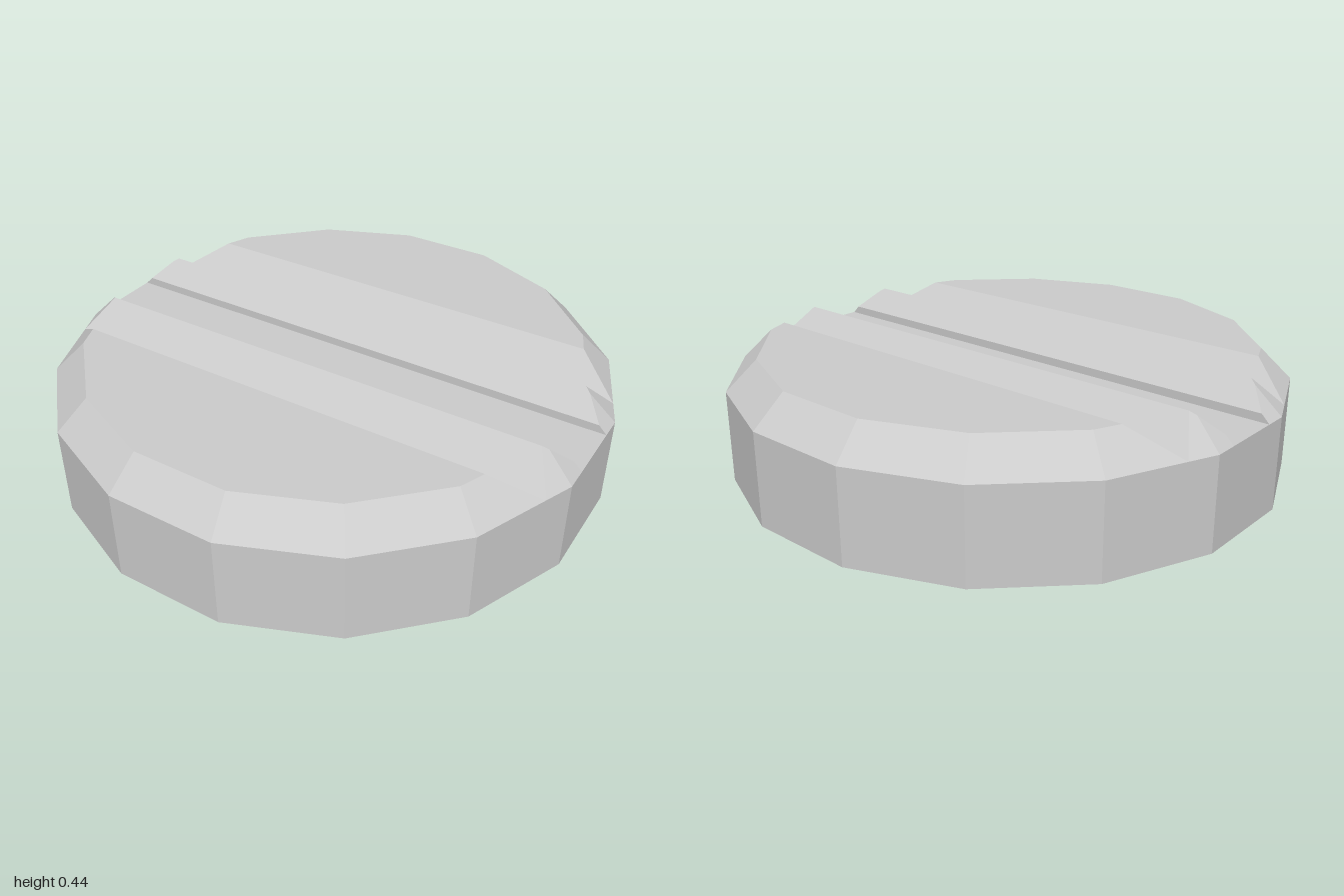
import * as THREE from 'three';
import { ConvexGeometry } from 'three/addons/geometries/ConvexGeometry.js';

const SIDES = 16, STEP = (2 * Math.PI) / SIDES;
const EDGE = 0.334, TOP = 0.444;           // start of the rim chamfer, and the top face
const COT = Math.tan(STEP / 2);            // half side length per unit of apothem

// distance from centre to a side at height y (45 degree chamfer above EDGE)
const apothem = (y) => 1 - Math.max(0, y - EDGE);

// half width in x of the chamfered disc at depth z and height y
function halfWidth(z, y) {
  let w = Infinity;
  for (let k = 0; k < SIDES / 4; k++) {
    const t = k * STEP;
    w = Math.min(w, (apothem(y) - z * Math.sin(t)) / Math.cos(t));
  }
  return w;
}

export function createModel() {
  const group = new THREE.Group();
  const material = new THREE.MeshStandardMaterial({ color: 0xcccccc, flatShading: true });
  const add = (name, geometry) => {
    const mesh = new THREE.Mesh(geometry, material);
    mesh.name = name;
    group.add(mesh);
    return mesh;
  };
  const pair = (z, y, x = halfWidth(z, y)) =>
    [new THREE.Vector3(x, y, z), new THREE.Vector3(-x, y, z)];

  // lower disc; its top forms the floor of the central channel
  const r = 1 / Math.cos(STEP / 2);
  const disc = add('disc', new THREE.CylinderGeometry(r, r, EDGE, SIDES));
  disc.geometry.rotateY(STEP / 2).translate(0, EDGE / 2, 0);

  // ridge between the channel and the V groove, with the disc corner running up its ends
  const inner = 0.114, crest = 0.194, groove = 0.304, outer = groove + TOP - EDGE;
  const lip = TOP - (crest - inner);
  const ridge = [[inner, EDGE], [inner, lip], [crest, TOP], [groove, EDGE]]
    .flatMap(([z, y]) => pair(z, y));
  const exit = (COT * (1 + EDGE) - crest + TOP) / (1 + COT); // where the corner leaves the slope
  for (const y of [EDGE, exit]) ridge.push(...pair(COT * apothem(y), y, apothem(y)));

  // raised segment from the V groove to the chamfered rim
  const segment = [...pair(groove, EDGE), ...pair(outer, TOP)];
  for (const y of [EDGE, TOP]) {
    for (let k = 0; k < 3; k++) {
      const t = (k + 1.5) * STEP, c = apothem(y) * r;
      segment.push(...pair(c * Math.sin(t), y, c * Math.cos(t)));
    }
  }

  // mirror both to the front and the back
  for (const [s, side] of [[1, 'front'], [-1, 'back']]) {
    const flip = (points) => points.map((p) => new THREE.Vector3(p.x, p.y, p.z * s));
    add(side + 'Ridge', new ConvexGeometry(flip(ridge)));
    add(side + 'Segment', new ConvexGeometry(flip(segment)));
  }
  return group;
}
